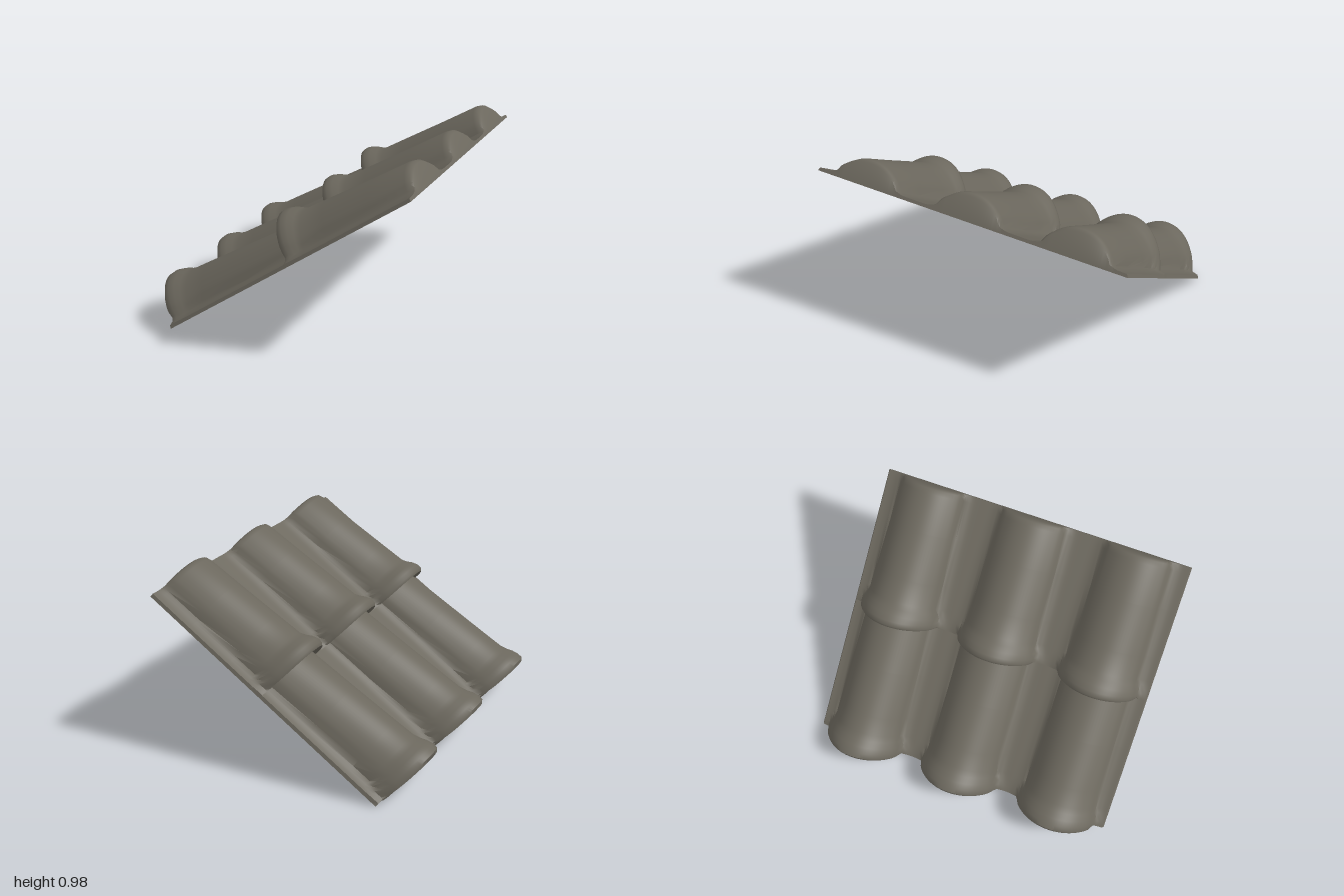
import * as THREE from 'three';
import { toCreasedNormals } from 'three/addons/utils/BufferGeometryUtils.js';

const LENGTH = 1.436; // up the slope
const WIDTH = 1.62;   // across the slope
// Roll centres across the slope, each with a slightly different height
const ROLLS = [[0.26, 1.11], [0.805, 1.05], [1.355, 1]];

// Surface across the slope: shallow valleys and round rolls with soft feet.
// Returns the height and how far up a roll the point lies (0 to 1).
function profile(t, rollHeight, rollWidth) {
  if (t <= 0 || t >= WIDTH) return [0, 0];
  let y = 0.016, crown = 0;
  for (const [centre, size] of ROLLS) {
    const d = Math.abs(t - centre);
    y += 0.012 * Math.exp(-(((d - rollWidth) / 0.03) ** 2));
    const q = 1 - (d / rollWidth) ** 2;
    if (q > 0) {
      y += size * rollHeight * Math.pow(q, 0.66);
      crown = Math.sqrt(q);
    }
  }
  return [y, crown];
}

// Loft through stations
// [distance up slope, roll height, roll half width, vertical scale, overhang of the crown]
function tileRow(stations) {
  const ts = [0, 0.008];
  for (let j = 1; j < 120; j++) ts.push((j / 120) * WIDTH);
  ts.push(WIDTH - 0.008, WIDTH);
  const n = ts.length, pos = [], index = [];
  stations.forEach(([s, h, w, k, overhang = 0], i) => {
    ts.forEach((t, j) => {
      const [y, crown] = profile(t, h, w);
      pos.push(s - overhang * crown, k * y, t);
      if (i && j) {
        const b = i * n + j, a = b - n;
        index.push(a - 1, a, b - 1, a, b, b - 1);
      }
    });
  });
  const g = new THREE.BufferGeometry();
  g.setAttribute('position', new THREE.Float32BufferAttribute(pos, 3));
  g.setIndex(index);
  return toCreasedNormals(g, 0.9);
}

export function createModel() {
  const clay = new THREE.MeshStandardMaterial({ color: 0x6b675d, side: THREE.DoubleSide });
  clay.name = 'greyBrownClay';
  const panel = new THREE.Group();
  panel.name = 'tilePanel';
  const add = (name, geometry) => {
    const m = new THREE.Mesh(geometry, clay);
    m.name = name;
    panel.add(m);
    return m;
  };

  // Lower row, with a slightly dished front face and a soft lip
  add('lowerTileRow', tileRow([
    [0, 0.18, 0.205, 0, 0.016], [0.003, 0.18, 0.205, 0.25, 0.014], [0.006, 0.18, 0.205, 0.55, 0.016],
    [0.003, 0.185, 0.208, 0.82, 0.03], [0, 0.193, 0.211, 0.95, 0.04], [0.01, 0.201, 0.213, 1, 0.038],
    [0.03, 0.203, 0.213, 1, 0.03], [0.052, 0.194, 0.208, 1, 0.02], [0.075, 0.178, 0.2, 1, 0.01],
    [0.1, 0.168, 0.192, 1], [0.2, 0.161, 0.186, 1], [0.45, 0.142, 0.182, 1],
    [0.76, 0.118, 0.178, 1],
  ]));

  // Upper row, its lip overlapping the lower one
  add('upperTileRow', tileRow([
    [0.76, 0.1, 0.175, 0.7], [0.738, 0.17, 0.198, 0.9, 0.02], [0.726, 0.19, 0.208, 0.98, 0.027],
    [0.736, 0.201, 0.213, 1, 0.025], [0.755, 0.203, 0.213, 1, 0.02], [0.777, 0.192, 0.208, 1, 0.012],
    [0.8, 0.172, 0.198, 1, 0.005], [0.825, 0.158, 0.19, 1], [0.95, 0.149, 0.185, 1],
    [1.2, 0.13, 0.178, 1], [1.4, 0.117, 0.172, 1], [1.425, 0.11, 0.168, 1],
    [LENGTH, 0.095, 0.16, 1], [LENGTH, 0.095, 0.16, 0],
  ]));

  // Flat underside
  const under = add('underside', new THREE.PlaneGeometry(LENGTH, WIDTH).rotateX(Math.PI / 2));
  under.position.set(LENGTH / 2, 0, WIDTH / 2);

  // Lean the panel to the pitch of the roof
  const across = new THREE.Vector3(0.61, 0.085, 1.5).normalize();
  const normal = across.clone().cross(new THREE.Vector3(1.075, 0.81, -0.49)).normalize();
  const up = normal.clone().cross(across);
  panel.quaternion.setFromRotationMatrix(new THREE.Matrix4().makeBasis(up, normal, across));
  panel.position.set(-0.81, 0.01, -0.505);

  const model = new THREE.Group();
  model.name = 'roofTiles';
  model.add(panel);
  return model;
}
